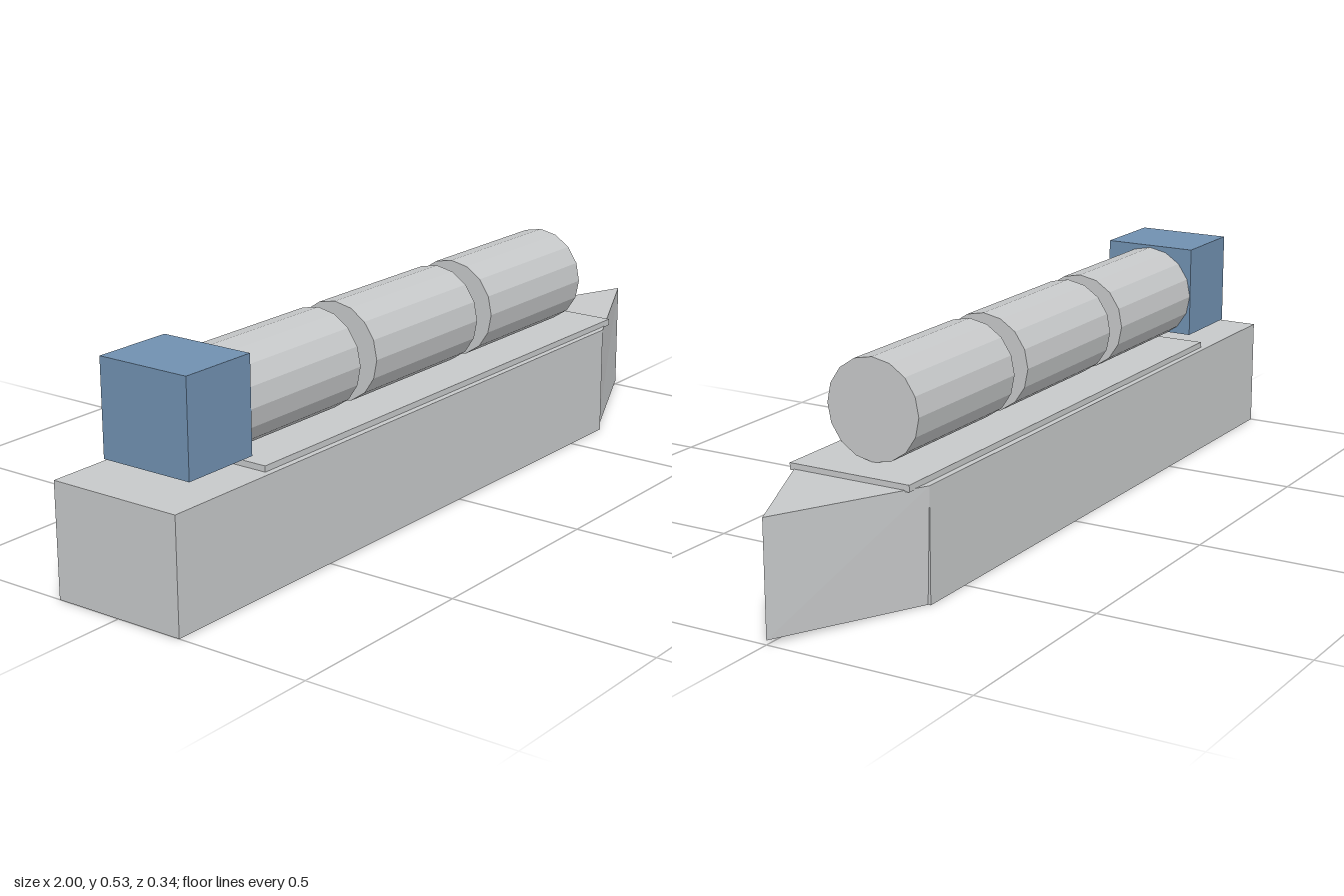
import * as THREE from 'three';

export function createModel() {
  const model = new THREE.Group();
  const grey = new THREE.MeshStandardMaterial({ color: 0xc6c8c9, flatShading: true });
  grey.name = 'light grey';
  const blue = new THREE.MeshStandardMaterial({ color: 0x7090b0, flatShading: true });
  blue.name = 'steel blue';

  const add = (name, geometry, material, x, y, z = 0) => {
    const mesh = new THREE.Mesh(geometry, material);
    mesh.name = name;
    mesh.position.set(x, y, z);
    model.add(mesh);
    return mesh;
  };

  // Long box hull
  add('hull', new THREE.BoxGeometry(1.64, 0.271, 0.34), grey, -0.18, 0.1355);

  // Wedge bow: a box whose front end narrows to a slightly raised vertical edge
  const bow = new THREE.BoxGeometry(0.36, 1, 2);
  const p = bow.attributes.position;
  for (let i = 0; i < p.count; i++) {
    const tip = p.getX(i) > 0;
    const top = p.getY(i) > 0;
    const y = top ? (tip ? 0.277 : 0.271) : (tip ? 0.01 : 0);
    const halfWidth = tip ? 0 : (top ? 0.17 : 0.163);
    p.setXYZ(i, tip ? 1 : 0.64, y, Math.sign(p.getZ(i)) * halfWidth);
  }
  bow.computeVertexNormals();
  add('bow', bow, grey, 0, 0);

  // Thin raised deck
  add('deckPlate', new THREE.BoxGeometry(1.395, 0.016, 0.31), grey, -0.0025, 0.277);

  // Row of three cargo tanks lying along the deck
  const tank = new THREE.CylinderGeometry(0.119, 0.119, 0.4, 16);
  tank.rotateZ(Math.PI / 2);
  [-0.52, -0.06, 0.4].forEach((x, i) => add(`tank${i + 1}`, tank, grey, x, 0.403));

  // Wheelhouse at the stern
  add('wheelhouse', new THREE.BoxGeometry(0.2, 0.228, 0.24), blue, -0.8, 0.414);

  return model;
}
